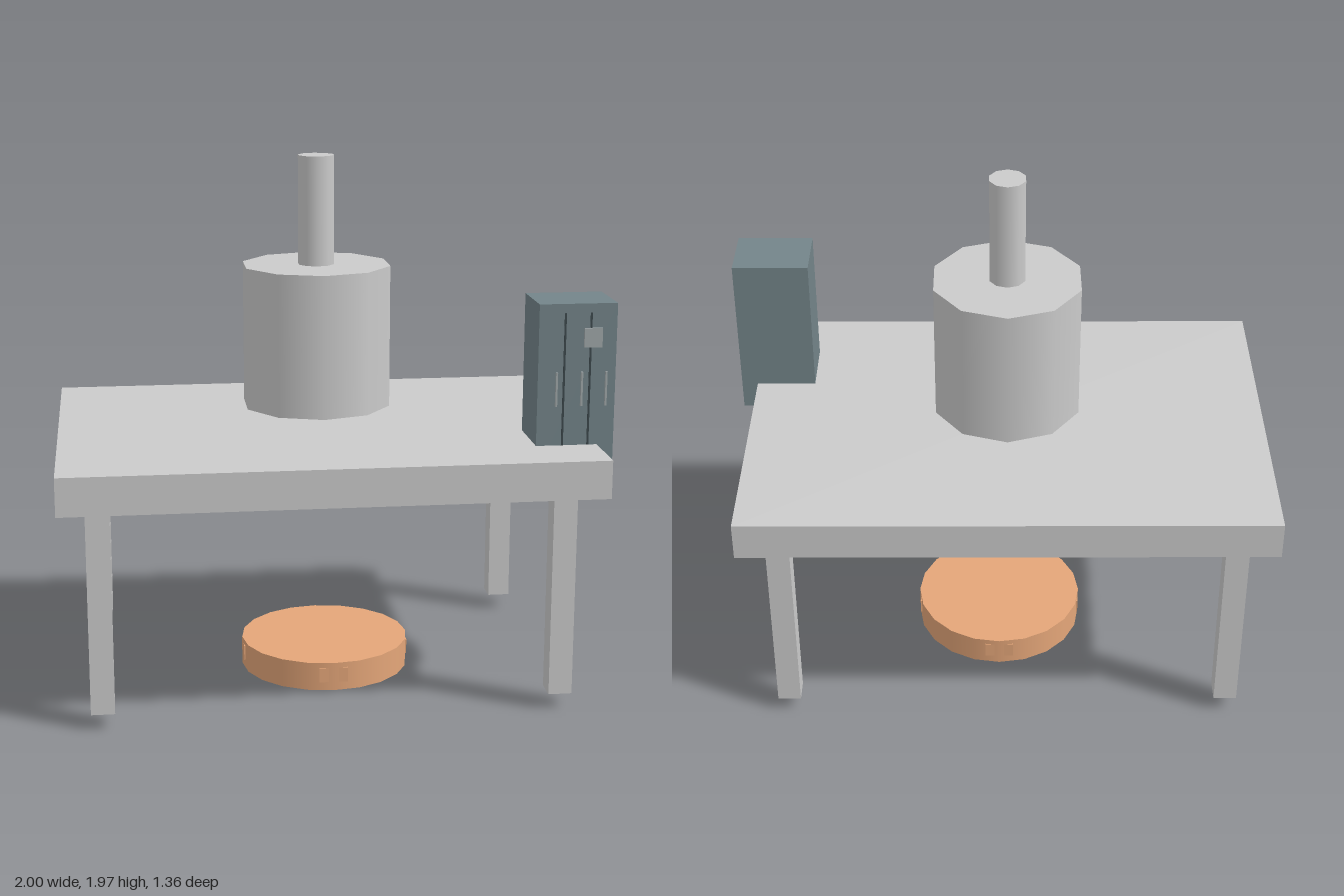
import * as THREE from 'three';

const material = (color) => new THREE.MeshStandardMaterial({ color });

export function createModel() {
  const model = new THREE.Group();
  const grey = material(0xcccccc);
  const steel = material(0x74858a);
  const dark = material(0x3c484c);
  const pale = material(0xa0a8aa);
  const orange = material(0xe4a679);

  const add = (name, geometry, mat, x, y, z, parent = model) => {
    const mesh = new THREE.Mesh(geometry, mat);
    mesh.name = name;
    mesh.position.set(x, y, z);
    parent.add(mesh);
    return mesh;
  };
  const box = (w, h, d) => new THREE.BoxGeometry(w, h, d);

  // Table, slightly off centre because the locker overhangs one end
  const table = new THREE.Group();
  table.name = 'table';
  table.position.x = -0.03;
  model.add(table);
  add('tableTop', box(1.94, 0.14, 1.36), grey, 0, 0.892, 0, table);
  for (const sx of [-1, 1]) {
    for (const sz of [-1, 1]) {
      add('tableLeg', box(0.086, 0.765, 0.086), grey, sx * 0.83, 0.44, sz * 0.545, table);
    }
  }

  // Hanging lamp: ten-sided shade and its stem
  add('lampShade', new THREE.CylinderGeometry(0.28, 0.28, 0.53, 10), grey, -0.03, 1.302, 0);
  add('lampStem', new THREE.CylinderGeometry(0.068, 0.068, 0.41, 10), grey, -0.03, 1.765, 0);

  // Round floor cushion with four side grips
  const cushion = new THREE.Group();
  cushion.name = 'cushion';
  model.add(cushion);
  add('cushionBody', new THREE.CylinderGeometry(0.32, 0.32, 0.108, 20), orange, 0, 0.054, 0, cushion);
  for (let i = 0; i < 4; i++) {
    const a = (i * Math.PI) / 2;
    const grip = add('cushionGrip', box(0.108, 0.056, 0.03), orange,
      Math.sin(a) * 0.302, 0.06, Math.cos(a) * 0.302, cushion);
    grip.rotation.y = a;
  }

  // Locker with three doors
  const locker = new THREE.Group();
  locker.name = 'locker';
  locker.position.set(0.858, 0, 0);
  model.add(locker);
  add('lockerBody', box(0.284, 0.622, 0.23), steel, 0, 1.169, 0.338, locker);
  for (const x of [-0.047, 0.047]) {
    add('doorGap', box(0.007, 0.56, 0.01), dark, x, 1.167, 0.451, locker);
  }
  for (const x of [-0.074, 0.018, 0.107]) {
    add('doorHandle', box(0.007, 0.125, 0.02), pale, x, 1.17, 0.453, locker);
  }
  add('doorPlate', box(0.066, 0.07, 0.02), pale, 0.055, 1.357, 0.453, locker);

  return model;
}
